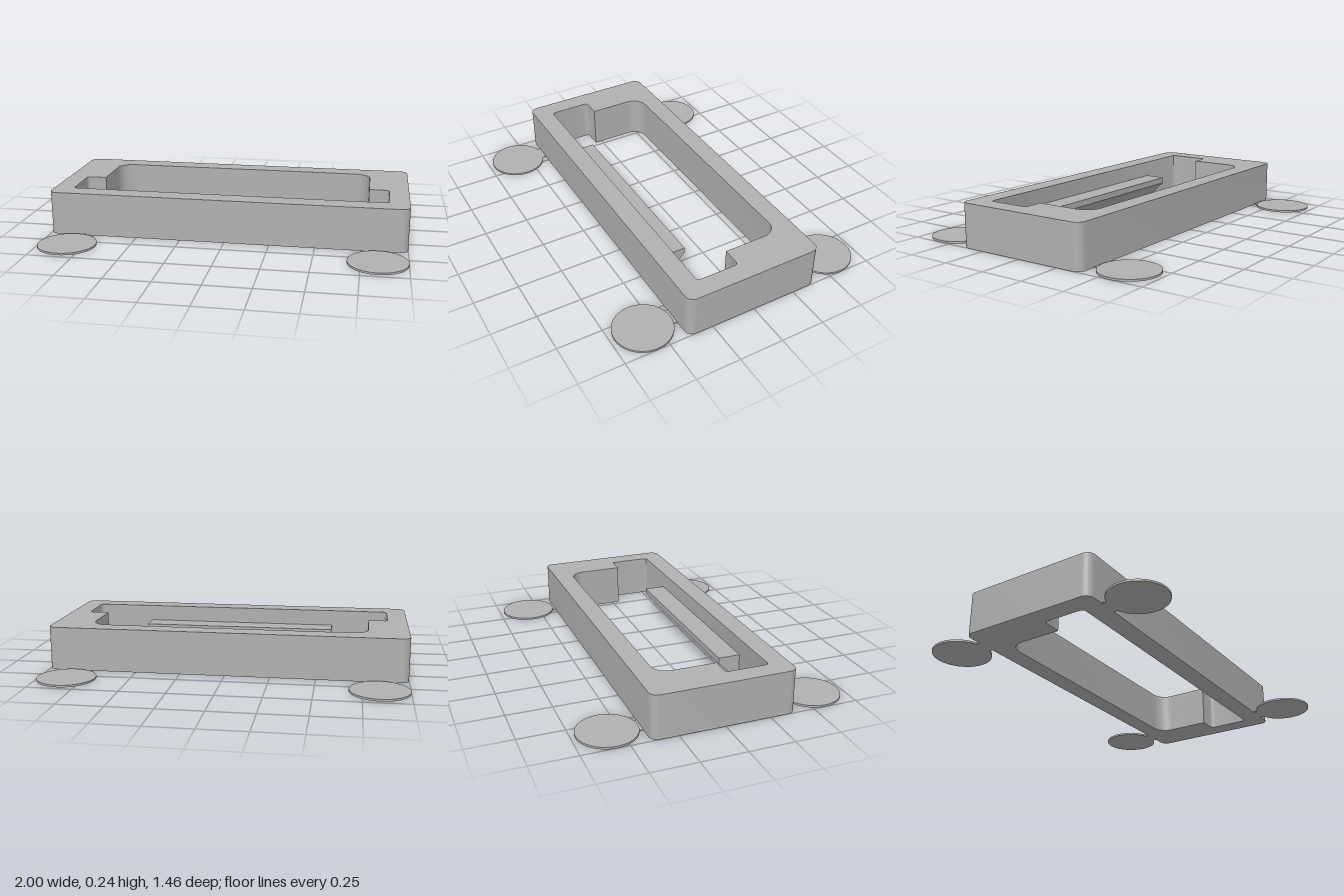
import * as THREE from 'three';
import { toCreasedNormals } from 'three/addons/utils/BufferGeometryUtils.js';

const HEIGHT = 0.243;

// Trace a closed outline of [x, y, cornerRadius] points with circular corners
function roundedOutline(path, points) {
  const n = points.length, k = 0.5523;
  points.forEach(([x, y, r], i) => {
    const c = new THREE.Vector2(x, y);
    const toward = (j) => new THREE.Vector2(points[j][0], points[j][1]).sub(c).normalize();
    const a = toward((i + n - 1) % n), b = toward((i + 1) % n);
    const at = (d, s) => c.clone().addScaledVector(d, s);
    const start = at(a, r), end = at(b, r);
    if (i === 0) path.moveTo(start.x, start.y);
    else path.lineTo(start.x, start.y);
    if (r > 0) {
      const h1 = at(a, r * (1 - k)), h2 = at(b, r * (1 - k));
      path.bezierCurveTo(h1.x, h1.y, h2.x, h2.y, end.x, end.y);
    }
  });
  path.closePath();
  return path;
}

export function createModel() {
  const group = new THREE.Group();
  const grey = new THREE.MeshStandardMaterial({ color: 0xb0b0b0 });
  grey.name = 'grey';

  const add = (name, geometry) => {
    const mesh = new THREE.Mesh(geometry, grey);
    mesh.name = name;
    group.add(mesh);
    return mesh;
  };

  // Rectangular frame with a stepped opening (outline y runs towards the back)
  const outline = roundedOutline(new THREE.Shape(), [
    [-1, -0.394, 0.045], [1, -0.394, 0.045], [1, 0.394, 0.045], [-1, 0.394, 0.045],
  ]);
  outline.holes.push(roundedOutline(new THREE.Path(), [
    [-0.89, -0.283, 0.02], [-0.89, -0.041, 0.02], [-0.778, -0.041, 0],
    [-0.778, 0.286, 0.085], [0.778, 0.286, 0.085],
    [0.778, -0.041, 0], [0.89, -0.041, 0.02], [0.89, -0.283, 0.02],
  ]));
  const frame = new THREE.ExtrudeGeometry(outline, {
    depth: HEIGHT, bevelEnabled: false, curveSegments: 10,
  });
  frame.rotateX(-Math.PI / 2);
  add('frame', toCreasedNormals(frame, 0.5));

  // Ledge on the inside of the front wall, with a sloping underside
  const profile = new THREE.Shape([
    [-0.284, 0.002], [-0.284, 0.152], [-0.16, 0.152], [-0.16, 0.117],
  ].map(([u, v]) => new THREE.Vector2(u, v)));
  const ledge = new THREE.ExtrudeGeometry(profile, { depth: 1.128, bevelEnabled: false });
  ledge.translate(0, 0, -0.564);
  ledge.rotateY(Math.PI / 2);
  add('ledge', ledge);

  // Thin corner pads, each joined to the frame by a narrow tab
  const pad = toCreasedNormals(new THREE.CylinderGeometry(0.16, 0.16, 0.011, 64), 0.5);
  const tab = new THREE.BoxGeometry(0.1, 0.005, 0.05);
  for (const sz of [1, -1]) {
    for (const sx of [1, -1]) {
      const label = (sz > 0 ? 'front' : 'back') + (sx > 0 ? 'Left' : 'Right');
      add(label + 'Pad', pad).position.set(sx * 0.84, 0.0055, sz * 0.5675);
      add(label + 'Tab', tab).position.set(sx * 0.84, 0.0025, sz * 0.41);
    }
  }

  return group;
}
